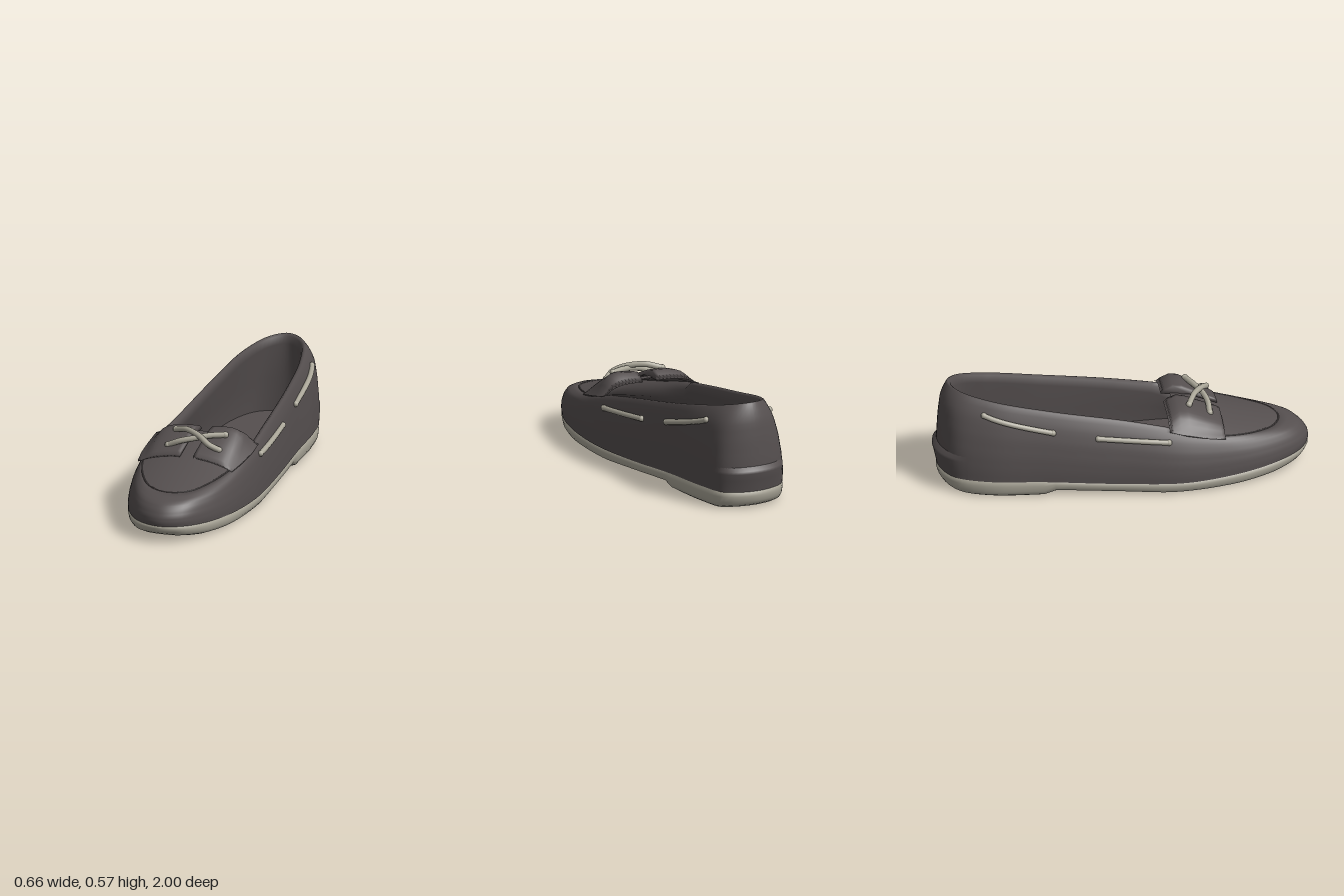
import * as THREE from 'three';

const V = (x, y, z) => new THREE.Vector3(x, y, z);
const { lerp, smoothstep } = THREE.MathUtils;

// Skin a list of point rows; closed rows wrap round
function loft(rows, closed) {
  const n = rows[0].length, pos = [], index = [];
  rows.forEach(r => r.forEach(p => pos.push(p.x, p.y, p.z)));
  for (let i = 0; i < rows.length - 1; i++) {
    for (let j = 0; j < (closed ? n : n - 1); j++) {
      const a = i * n + j, b = i * n + (j + 1) % n;
      index.push(a, a + n, b, b, a + n, b + n);
    }
  }
  const g = new THREE.BufferGeometry();
  g.setAttribute('position', new THREE.Float32BufferAttribute(pos, 3));
  g.setIndex(index);
  g.computeVertexNormals();
  return g;
}

// Piecewise linear lookup in [key, value] pairs
function table(t, k) {
  for (let i = 1; i < t.length; i++) {
    if (k <= t[i][0]) {
      const f = Math.max(0, (k - t[i - 1][0]) / (t[i][0] - t[i - 1][0]));
      return lerp(t[i - 1][1], t[i][1], f);
    }
  }
  return t[t.length - 1][1];
}

// Closed outline from stations [z, left x, right x, y], heel to toe
function outline(st) {
  const right = st.map(s => V(s[2], s[3], s[0]));
  const left = st.slice(1, -1).map(s => V(s[1], s[3], s[0])).reverse();
  return new THREE.CatmullRomCurve3([...right, ...left], true, 'centripetal');
}

const base = outline([
  [-0.975, 0.05, 0.05, 0.1], [-0.915, -0.13, 0.21, 0.1], [-0.75, -0.215, 0.255, 0.1],
  [-0.45, -0.253, 0.278, 0.095], [-0.05, -0.295, 0.307, 0.075], [0.3, -0.328, 0.322, 0.07],
  [0.6, -0.28, 0.297, 0.08], [0.8, -0.2, 0.24, 0.09], [0.945, -0.09, 0.15, 0.1], [0.995, 0.035, 0.035, 0.102]]);
const top = outline([
  [-0.925, 0.05, 0.05, 0.568], [-0.87, -0.05, 0.15, 0.555], [-0.7, -0.13, 0.215, 0.52],
  [-0.4, -0.175, 0.255, 0.463], [0, -0.21, 0.28, 0.395], [0.3, -0.242, 0.286, 0.335],
  [0.5, -0.235, 0.255, 0.29], [0.68, -0.17, 0.2, 0.262], [0.8, -0.08, 0.13, 0.247], [0.84, 0.03, 0.03, 0.243]]);

// Station k runs 0 (heel) to 9 (toe) on the +x side, and back round to 18
const wrap = k => ((k % 18) + 18) % 18;
const at = (curve, k) => curve.getPoint(wrap(k) / 18);

// Side wall point at station k and height fraction w; the -x side leans in more
const full = [[0, 0], [0.15, -0.03], [0.35, 0], [0.6, 0.13], [0.82, 0.35], [0.95, 0.76], [1, 1]];
const lean = [[0, 0], [0.15, 0], [0.35, 0.08], [0.6, 0.29], [0.82, 0.6], [0.95, 0.88], [1, 1]];
function wall(k, w, out = 0) {
  const side = smoothstep(wrap(k), 9.5, 12) * (1 - smoothstep(wrap(k), 16, 18));
  const a = at(base, k), b = at(top, k), h = lerp(table(full, w), table(lean, w), side);
  const p = V(lerp(a.x, b.x, h), lerp(a.y, b.y, w), lerp(a.z, b.z, h));
  const t = at(base, k + 0.05).sub(at(base, k - 0.05)).setY(0).normalize();
  return p.add(V(t.z * out, 0, -t.x * out));
}

// Vamp point at station k and j across from -x to +x
function vamp(k, j, lift = 0) {
  const p = at(top, 18 - k).lerp(at(top, k), j);
  const fade = Math.pow(Math.max(0, Math.min(1, 1 - (k - 4.9) / 4.1)), 1.5);
  p.y += 0.07 * fade * smoothstep(k, 4.4, 5.05) * 4 * j * (1 - j) + lift;
  return p;
}

export function createModel() {
  const group = new THREE.Group();
  const leather = new THREE.MeshStandardMaterial({ color: 0x554f4f, side: THREE.DoubleSide });
  leather.name = 'dark leather';
  const pale = new THREE.MeshStandardMaterial({ color: 0xaba799, side: THREE.DoubleSide });
  pale.name = 'pale rubber and lace';
  const add = (name, geometry, material) => {
    const m = new THREE.Mesh(geometry, material);
    m.name = name;
    group.add(m);
    return m;
  };
  const N = 108;
  const ks = Array.from({ length: N }, (_, i) => i * 18 / N);
  const ring = f => ks.map(f);
  const steps = (a, b, n) => Array.from({ length: n + 1 }, (_, i) => lerp(a, b, i / n));

  // Sole with a heel step and a rounded lip
  const under = [[-1, 0.02], [-0.85, 0.004], [-0.44, 0.006], [-0.4, 0.034], [-0.15, 0.022],
    [0.2, 0.004], [0.6, 0.008], [0.8, 0.02], [0.93, 0.04], [1, 0.06]];
  const soleRing = (sx, sz, f, lift = 0) => ring(k => {
    const p = at(base, k), z = p.z * sz, y0 = table(under, z);
    return V(0.01 + (p.x - 0.01) * sx, lerp(y0, p.y, f) + lift, z);
  });
  add('soleEdge', loft([soleRing(0.89, 0.955, 0), soleRing(0.95, 0.98, 0.12), soleRing(0.985, 0.993, 0.35),
    soleRing(0.995, 1.002, 0.7), soleRing(0.985, 0.998, 1), soleRing(0.94, 0.97, 1, 0.006)], true), pale);
  add('soleBottom', loft([soleRing(0, 0.955, 0), soleRing(0.89, 0.955, 0)], true), pale);

  // Outer wall, rolled collar, lining and insole in one skin
  const outer = steps(0, 1, 14).map(w => ring(k => wall(k, w)));
  const inner = (s, dy) => ring(k => {
    const p = at(top, k);
    const sink = 0.03 * smoothstep(p.z, 0.22, 0.32);
    return V(0.04 + (p.x - 0.04) * s, p.y + dy - sink, p.z * (1 - (1 - s) * 0.25));
  });
  const floor = s => ring(k => {
    const p = at(base, k);
    return V(0.03 + (p.x - 0.03) * s, 0.135, p.z * 0.94);
  });
  const mid = inner(0.87, -0.05), edge = floor(0.84);
  const lining = mid.map((p, i) => {
    const q = p.clone().lerp(edge[i], 0.5);
    q.x = lerp(p.x, edge[i].x, 0.7);
    return q;
  });
  add('upper', loft([...outer, inner(0.96, 0.004), inner(0.9, -0.008), mid, lining, edge], true), leather);
  add('insole', loft([edge, floor(0)], true), leather);

  // Vamp panel with tongue
  add('vamp', loft(steps(4.88, 9, 24).map(k => steps(0, 1, 16).map(j => vamp(k, j))), false), leather);

  // Raised seam round the vamp
  const seam = new THREE.CatmullRomCurve3(steps(6, 12, 24).map(k => at(top, k)));
  add('vampSeam', new THREE.TubeGeometry(seam, 48, 0.004, 6), leather);

  // Lace tabs beside the tongue, arching up behind the laces
  const section = [[4.72, 0.01], [4.8, 0.024], [4.95, 0.032], [5.15, 0.034], [5.6, 0.03], [6, 0.024], [6.1, 0.016],
    [6.1, 0.002], [5.6, 0.004], [5.1, 0.01]];
  for (const [name, j0, j1, arch] of [['minusXTab', -0.06, 0.43, 0.06], ['plusXTab', 0.59, 1.04, 0.16]]) {
    const rows = steps(j0, j1, 12).map(j => {
      const t = 2 * j - 1;
      const taper = 1 - 0.8 * smoothstep(Math.abs(t), 0.8, 1.12);
      const rise = arch * Math.max(0, t * t - t ** 4);
      return section.map(([k, lift]) => vamp(k, j,
        lift * taper + rise * smoothstep(k, 4.5, 5.05) * (1 - smoothstep(k, 5.1, 6.1))));
    });
    const cap = row => {
      const c = row.reduce((s, p) => s.add(p), V(0, 0, 0)).divideScalar(row.length);
      return row.map(() => c.clone());
    };
    add(name, loft([cap(rows[0]), ...rows, cap(rows[12])].reverse(), true), leather);
  }

  // Laces: round-ended tubes
  function lace(name, pts, r) {
    const curve = new THREE.CatmullRomCurve3(pts);
    add(name, new THREE.TubeGeometry(curve, 24, r, 8), pale);
    for (const p of [pts[0], pts[pts.length - 1]]) {
      add(name + 'End', new THREE.SphereGeometry(r * 1.1, 10, 8), pale).position.copy(p);
    }
  }
  lace('crossLaceUpper', [V(-0.11, 0.42, 0.345), V(-0.03, 0.44, 0.385), V(0.06, 0.428, 0.44),
    V(0.12, 0.4, 0.47), V(0.17, 0.37, 0.45)], 0.016);
  lace('crossLaceLower', [V(-0.115, 0.367, 0.455), V(-0.05, 0.396, 0.455), V(0.03, 0.415, 0.435),
    V(0.1, 0.426, 0.4), V(0.175, 0.428, 0.365)], 0.016);
  for (const [side, flip] of [['plusX', k => k], ['minusX', k => 18 - k]]) {
    for (const [part, k0, k1, w0, w1] of [['Front', 4.72, 3.67, 0.79, 0.73], ['Rear', 3.08, 1.82, 0.75, 0.85]]) {
      const pts = steps(0, 1, 6).map(t =>
        wall(flip(lerp(k0, k1, t)), lerp(w0, w1, t), 0.004 + 0.005 * Math.sin(Math.PI * t)));
      lace(side + part + 'Lace', pts, 0.015);
    }
  }

  // Heel counter flaring out to a lip
  const band = [[0, 0], [0.06, 0.005], [0.14, 0.012], [0.22, 0.022], [0.25, 0.02], [0.3, -0.004]];
  add('heelCounter', loft(band.map(([w, out]) => steps(-1.5, 1.5, 24).map(k =>
    wall(k, w, out * (1 - smoothstep(Math.abs(k), 0.4, 1.5))))), false), leather);

  // Pale lining patches on the insole
  const patch = (name, pts) => {
    const g = new THREE.ShapeGeometry(new THREE.Shape(
      new THREE.SplineCurve(pts.map(([x, z]) => new THREE.Vector2(x, -z))).getPoints(40)));
    add(name, g.rotateX(-Math.PI / 2), pale).position.y = 0.142;
  };
  patch('plusXInsolePatch', [[0.168, -0.68], [0.09, -0.45], [0.055, -0.2], [0.07, 0], [0.13, 0.09],
    [0.2, 0.14], [0.182, 0], [0.186, -0.2], [0.198, -0.45], [0.168, -0.68]]);
  patch('minusXInsolePatch', [[-0.155, -0.33], [-0.135, -0.2], [-0.145, -0.08], [-0.17, -0.1],
    [-0.17, -0.25], [-0.155, -0.33]]);

  return group;
}
